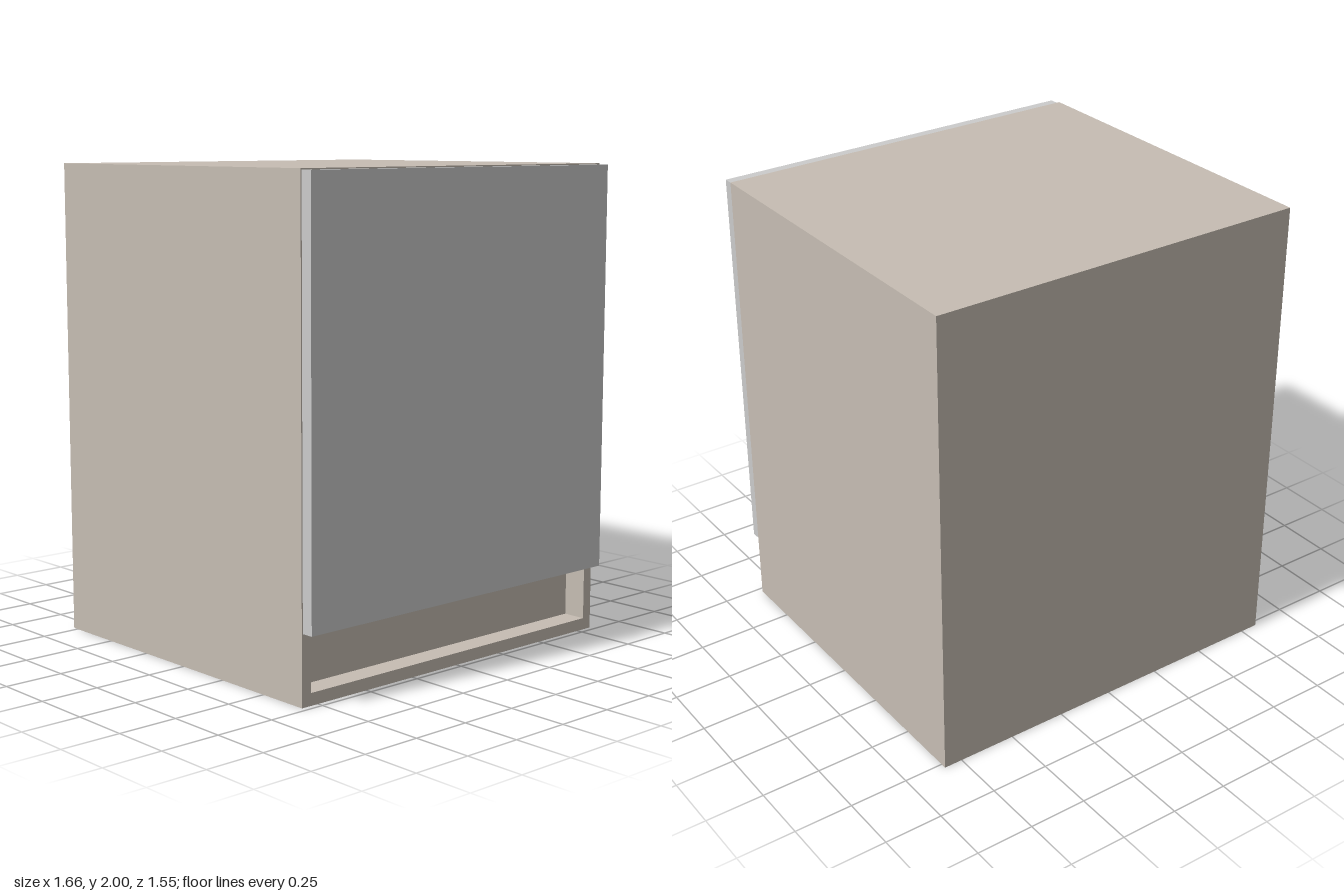
import * as THREE from 'three';

const HALF_WIDTH = 0.83, HEIGHT = 2;
const BACK = -0.775, RECESS_BACK = 0.625, BODY_FRONT = 0.725, DOOR_FRONT = 0.775;

// Traces a rectangle centred on x = 0 into a shape or path
function rectangle(path, halfWidth, bottom, top) {
  path.moveTo(-halfWidth, bottom);
  path.lineTo(halfWidth, bottom);
  path.lineTo(halfWidth, top);
  path.lineTo(-halfWidth, top);
  path.closePath();
  return path;
}

export function createModel() {
  const group = new THREE.Group();
  group.name = 'cabinet';
  const bodyMaterial = new THREE.MeshStandardMaterial({ color: 0xc6bdb3 });
  const doorMaterial = new THREE.MeshStandardMaterial({ color: 0xcccccc });

  // Extrudes an outline between two z positions
  function addPart(name, shape, zBack, zFront, material) {
    const geometry = new THREE.ExtrudeGeometry(shape, { depth: zFront - zBack, bevelEnabled: false });
    const mesh = new THREE.Mesh(geometry, material);
    mesh.name = name;
    mesh.position.z = zBack;
    group.add(mesh);
  }

  // Main body, closed at the back
  addPart('body', rectangle(new THREE.Shape(), HALF_WIDTH, 0, HEIGHT), BACK, RECESS_BACK, bodyMaterial);

  // Front frame with the shallow toe recess cut through it
  const frame = rectangle(new THREE.Shape(), HALF_WIDTH, 0, HEIGHT);
  frame.holes.push(rectangle(new THREE.Path(), 0.785, 0.05, 0.28));
  addPart('frontFrame', frame, RECESS_BACK, BODY_FRONT, bodyMaterial);

  // Door panel, slightly smaller than the body
  addPart('door', rectangle(new THREE.Shape(), 0.825, 0.285, 1.995), BODY_FRONT, DOOR_FRONT, doorMaterial);

  return group;
}
